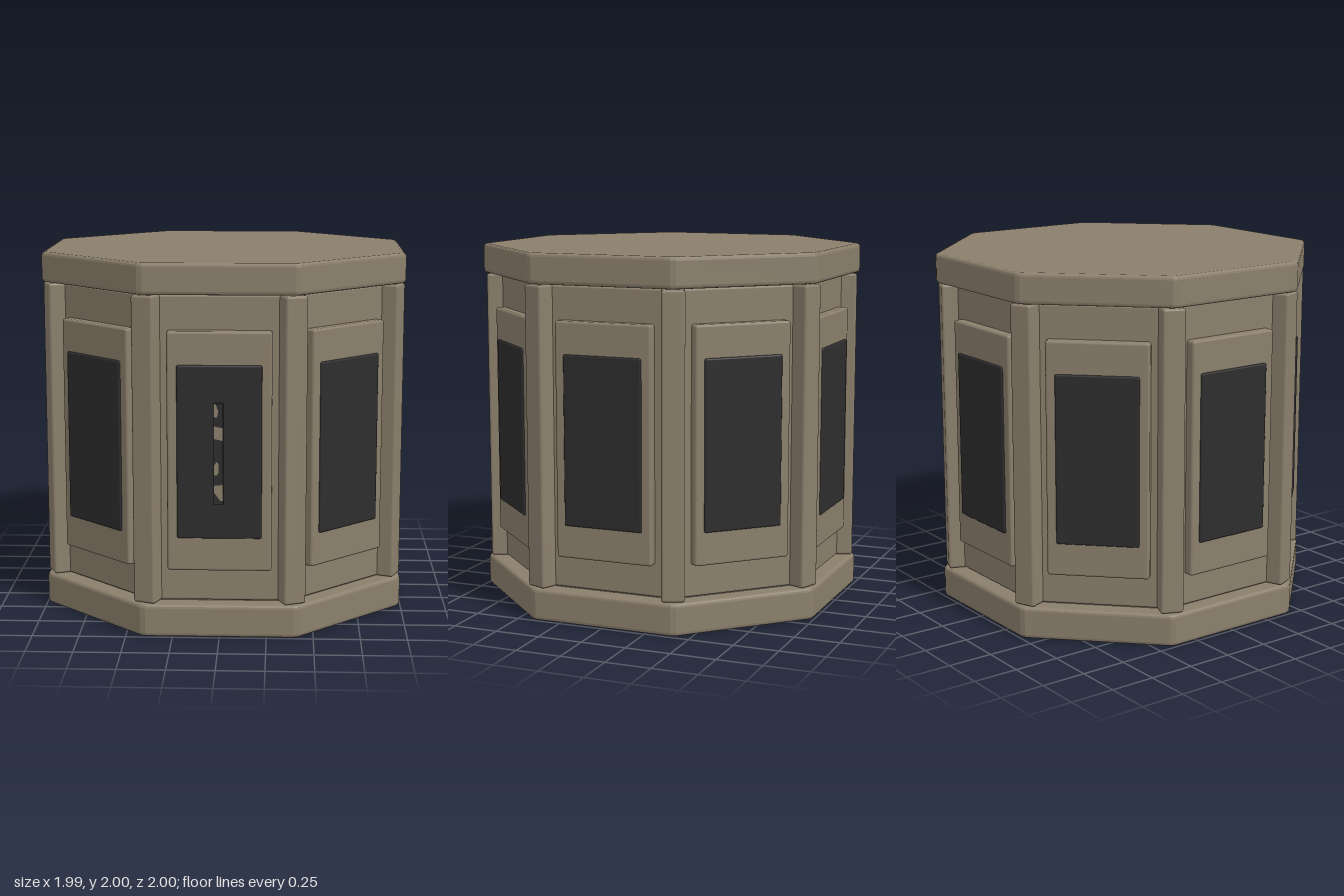
import * as THREE from 'three';
import { RoundedBoxGeometry } from 'three/addons/geometries/RoundedBoxGeometry.js';

const EIGHTH = Math.PI / 4;

// Octagon with its flats facing the axes and its corners slightly cut
function octagon(apothem, cut) {
  const half = apothem * Math.tan(EIGHTH / 2) - cut;
  const points = [];
  for (let i = 0; i < 8; i++) {
    for (const side of [-half, half]) {
      points.push(new THREE.Vector2(side, -apothem).rotateAround(new THREE.Vector2(), i * EIGHTH));
    }
  }
  return new THREE.Shape(points);
}

// Upright octagonal slab between two heights, with bevelled rims
function slab(apothem, y0, y1, bevel) {
  const geometry = new THREE.ExtrudeGeometry(octagon(apothem - bevel, 0.012), {
    depth: y1 - y0 - 2 * bevel,
    bevelThickness: bevel,
    bevelSize: bevel,
    bevelSegments: 3,
  });
  geometry.rotateX(-Math.PI / 2);
  geometry.translate(0, y0 + bevel, 0);
  return geometry;
}

export function createModel() {
  const model = new THREE.Group();
  model.name = 'octagonalCabinet';

  const tan = new THREE.MeshStandardMaterial({ color: 0x8b7f6c });
  tan.name = 'warm taupe';
  const dark = new THREE.MeshStandardMaterial({ color: 0x2d2d2d });
  dark.name = 'charcoal';

  const add = (parent, name, geometry, material, x = 0, y = 0, z = 0) => {
    const mesh = new THREE.Mesh(geometry, material);
    mesh.name = name;
    mesh.position.set(x, y, z);
    parent.add(mesh);
    return mesh;
  };

  // Base, lid and core
  add(model, 'base', slab(0.995, 0.003, 0.18, 0.02), tan);
  add(model, 'lid', slab(0.995, 1.832, 1.998, 0.02), tan);
  add(model, 'core', slab(0.895, 0.1, 1.9, 0.01), tan);

  // Shared parts of the eight sides
  const wall = new RoundedBoxGeometry(0.74, 1.64, 0.1, 2, 0.012);
  const frame = new RoundedBoxGeometry(0.55, 1.28, 0.1, 2, 0.014);
  const pane = new RoundedBoxGeometry(0.446, 0.925, 0.06, 2, 0.01);
  const post = new RoundedBoxGeometry(0.125, 1.645, 0.16, 2, 0.014);

  for (let i = 0; i < 8; i++) {
    const side = new THREE.Group();
    side.name = 'side' + (i + 1);
    side.rotation.y = i * EIGHTH;
    model.add(side);
    add(side, 'wallPanel', wall, tan, 0, 1.006, 0.863);
    add(side, 'raisedFrame', frame, tan, 0, 1.003, 0.917);
    add(side, 'darkPane', pane, dark, 0, 1.005, 0.948);

    const corner = new THREE.Group();
    corner.name = 'corner' + (i + 1);
    corner.rotation.y = (i + 0.5) * EIGHTH;
    model.add(corner);
    add(corner, 'cornerPost', post, tan, 0, 1.006, 0.973);
  }

  // Slim upright handle strip on the front pane
  add(model, 'handleStrip', new THREE.BoxGeometry(0.05, 0.535, 0.04), dark, -0.003, 1.003, 0.979);

  // Worn pale patches on the strip
  const patches = [
    [[-0.027, 1.2], [-0.01, 1.2], [-0.003, 1.23], [-0.018, 1.27], [-0.027, 1.27]],
    [[-0.027, 1.085], [0.021, 1.075], [0.021, 1.142], [-0.027, 1.152]],
    [[-0.027, 0.89], [-0.01, 0.89], [-0.002, 0.91], [-0.002, 0.95], [-0.012, 0.965], [-0.027, 0.94]],
    [[0.021, 0.755], [0.021, 0.84], [-0.027, 0.835], [-0.027, 0.8], [0.006, 0.755]],
  ];
  for (const corners of patches) {
    const shape = new THREE.Shape(corners.map(([x, y]) => new THREE.Vector2(x, y)));
    add(model, 'handlePatch', new THREE.ShapeGeometry(shape), tan, 0, 0, 1.0);
  }

  return model;
}
